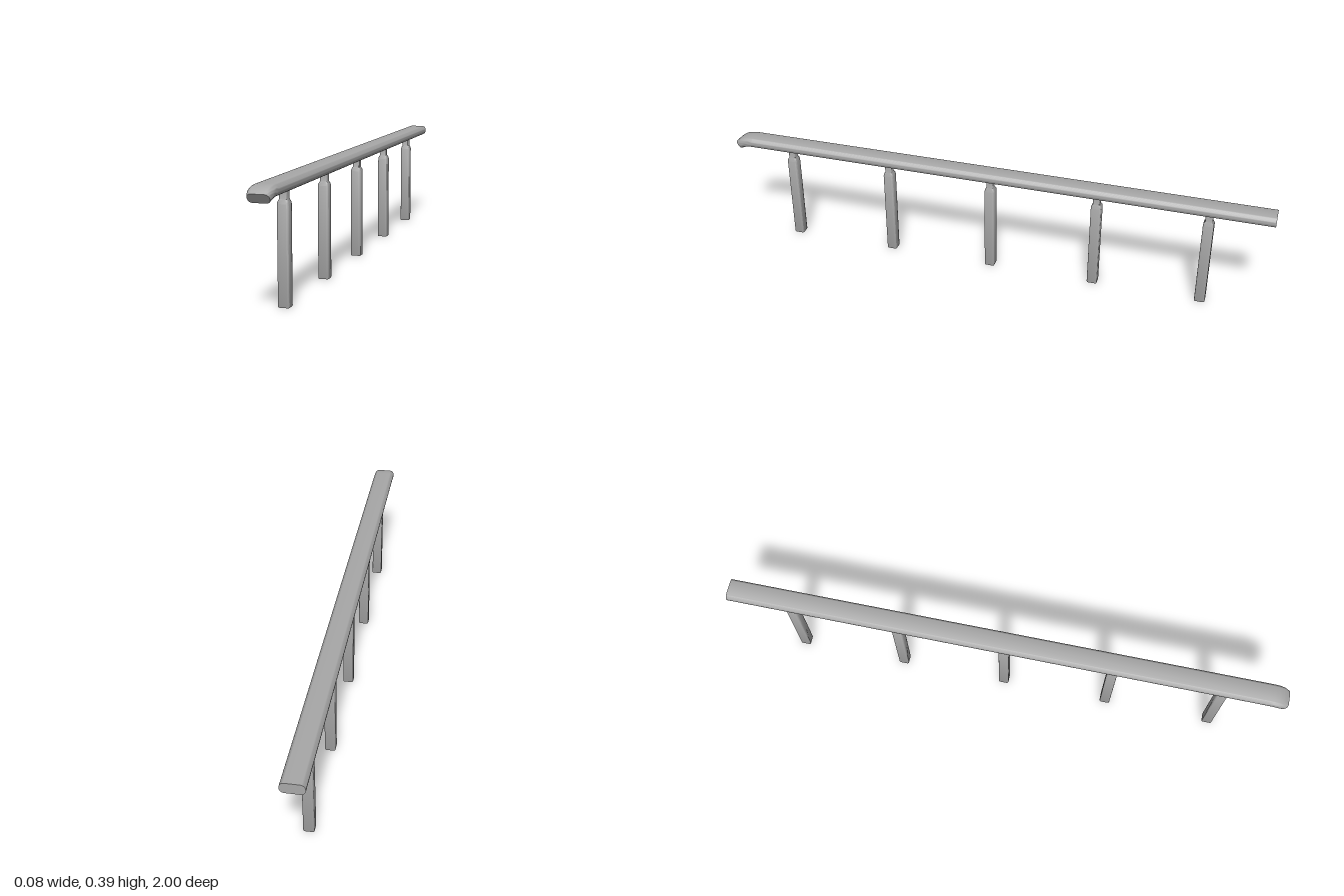
import * as THREE from 'three';
import { toCreasedNormals } from 'three/addons/utils/BufferGeometryUtils.js';

// Rounded rectangle outline, counter-clockwise, as [u, v] points
function roundedRect(halfW, halfH, r, steps) {
  const points = [];
  const corners = [[1, 1], [-1, 1], [-1, -1], [1, -1]];
  corners.forEach(([sx, sy], k) => {
    for (let i = 0; i <= steps; i++) {
      const a = (k + i / steps) * Math.PI / 2;
      points.push([sx * (halfW - r) + r * Math.cos(a), sy * (halfH - r) + r * Math.sin(a)]);
    }
  });
  return points;
}

// Skin a list of equal-length rings and close both ends
function loft(rings) {
  const n = rings[0].length;
  const last = (rings.length - 1) * n;
  const index = [];
  for (let i = 0; i < rings.length - 1; i++) {
    for (let j = 0; j < n; j++) {
      const a = i * n + j, b = i * n + (j + 1) % n;
      index.push(a, b, b + n, a, b + n, a + n);
    }
  }
  for (let j = 1; j < n - 1; j++) {
    index.push(0, j + 1, j, last, last + j, last + j + 1);
  }
  const geometry = new THREE.BufferGeometry();
  geometry.setAttribute('position', new THREE.Float32BufferAttribute(rings.flat(2), 3));
  geometry.setIndex(index);
  return toCreasedNormals(geometry, 0.6);
}

export function createModel() {
  const model = new THREE.Group();
  model.name = 'handrail';
  const grey = new THREE.MeshStandardMaterial({ color: 0xa8a8a8 });
  grey.name = 'grey';

  // Rail: straight run with a front end that curls down
  // [z, y, tilt, width scale, height scale]
  const profile = roundedRect(0.039, 0.0185, 0.016, 6);
  const railSections = [
    [-1, 0.3735, 0, 1, 1],
    [0.93, 0.3735, 0, 1, 1],
    [0.945, 0.373, 0.1, 1, 1],
    [0.96, 0.371, 0.22, 1, 1],
    [0.972, 0.3675, 0.34, 0.985, 0.99],
    [0.982, 0.3625, 0.48, 0.94, 0.96],
    [0.99, 0.357, 0.61, 0.87, 0.92],
  ];
  const rail = new THREE.Mesh(loft(railSections.map(([z, y, tilt, w, h]) =>
    profile.map(([u, v]) => [u * w, y + v * h * Math.cos(tilt), z + v * h * Math.sin(tilt)]))), grey);
  rail.name = 'rail';
  model.add(rail);

  // Posts: square with softened corners, narrowing to a neck under the rail
  // [y, half width, corner radius]
  const postSections = [
    [0, 0.0175, 0.005],
    [0.003, 0.0185, 0.006],
    [0.312, 0.0185, 0.006],
    [0.318, 0.0175, 0.006],
    [0.326, 0.013, 0.005],
    [0.358, 0.013, 0.005],
  ];
  const postGeometry = loft(postSections.map(([y, half, r]) =>
    roundedRect(half, half, r, 3).map(([u, v]) => [v, y, u])));
  for (let i = -2; i <= 2; i++) {
    const post = new THREE.Mesh(postGeometry, grey);
    post.name = 'post' + (i + 3);
    post.position.z = i * 0.39;
    model.add(post);
  }
  return model;
}
